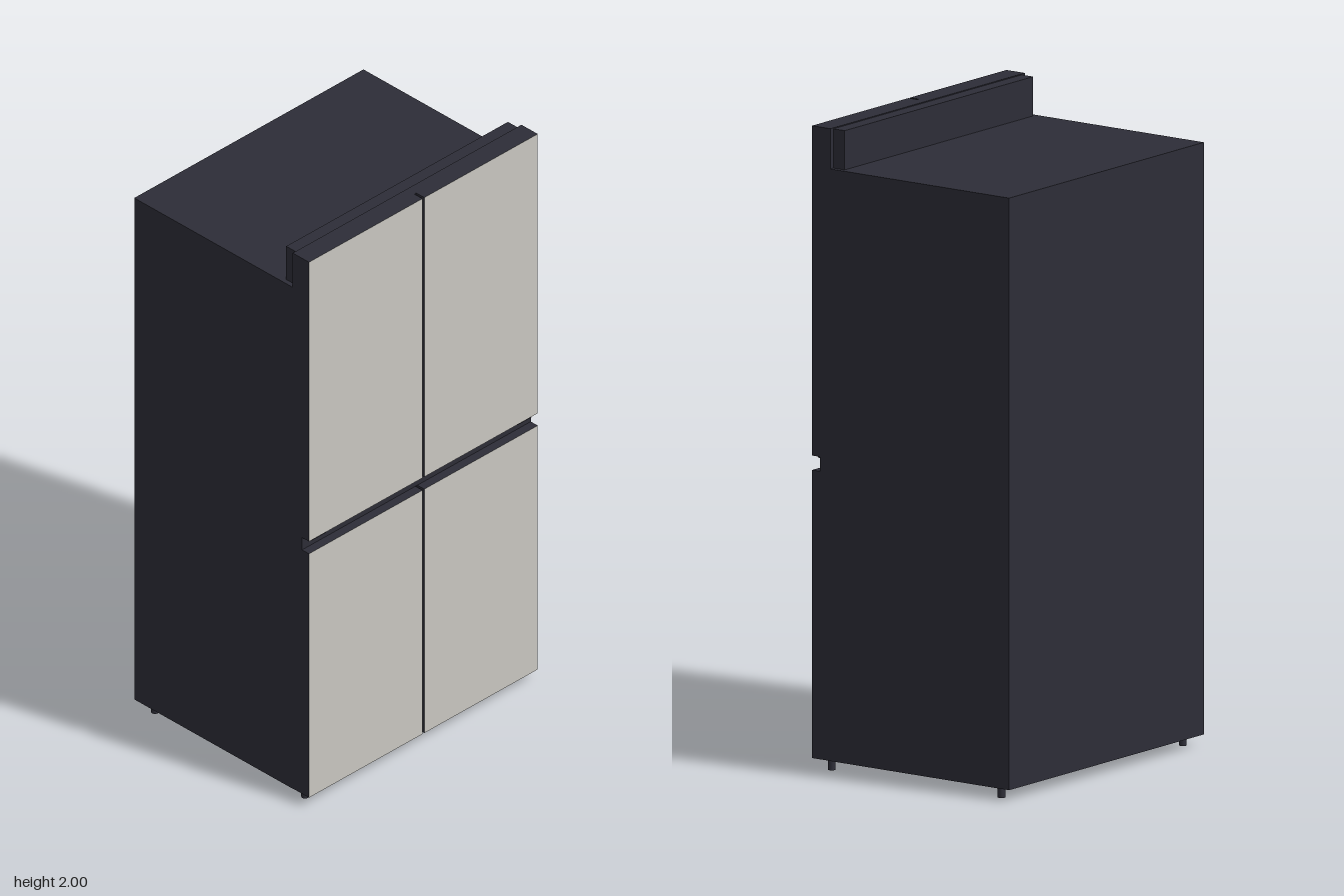
import * as THREE from 'three';

export function createModel() {
  const group = new THREE.Group();
  const mat = (name, color) => {
    const m = new THREE.MeshStandardMaterial({ color });
    m.name = name;
    return m;
  };
  const dark = mat('charcoal', 0x2d2d37);
  const light = mat('warm grey', 0xc9c7c1);

  // Box given by its lower and upper corners
  const box = (name, [x0, y0, z0], [x1, y1, z1], material = dark) => {
    const mesh = new THREE.Mesh(new THREE.BoxGeometry(x1 - x0, y1 - y0, z1 - z0), material);
    mesh.position.set((x0 + x1) / 2, (y0 + y1) / 2, (z0 + z1) / 2);
    mesh.name = name;
    group.add(mesh);
  };

  // Cabinet, hinge cover on top, and recessed grip between the door rows
  box('cabinet', [-0.491, 0.035, -0.375], [0.491, 1.875, 0.305]);
  box('topHingeCover', [-0.475, 1.875, 0.262], [0.475, 1.997, 0.305]);
  box('gripRecess', [-0.49, 0.93, 0.305], [0.49, 0.975, 0.345]);

  // Doors: dark body with a light front face
  const doorMaterials = [dark, dark, dark, dark, light, dark];
  const rows = [['upper', 0.975, 2], ['lower', 0.035, 0.93]];
  for (const [row, y0, y1] of rows) {
    box(row + 'LeftDoor', [0.004, y0, 0.305], [0.49, y1, 0.375], doorMaterials);
    box(row + 'RightDoor', [-0.49, y0, 0.305], [-0.004, y1, 0.375], doorMaterials);
    box(row + 'DoorSeal', [-0.004, y0, 0.305], [0.004, y1, 0.34]);
  }

  for (const s of [-1, 1]) {
    // Small hinge plates under the upper doors
    box('hingePlate', [s * 0.44 - 0.03, 0.966, 0.345], [s * 0.44 + 0.03, 0.975, 0.368]);
    // Feet
    for (const z of [-0.32, 0.325]) {
      const foot = new THREE.Mesh(new THREE.CylinderGeometry(0.012, 0.012, 0.035, 16), dark);
      foot.position.set(s * 0.457, 0.0175, z);
      foot.name = 'foot';
      group.add(foot);
    }
  }
  return group;
}
